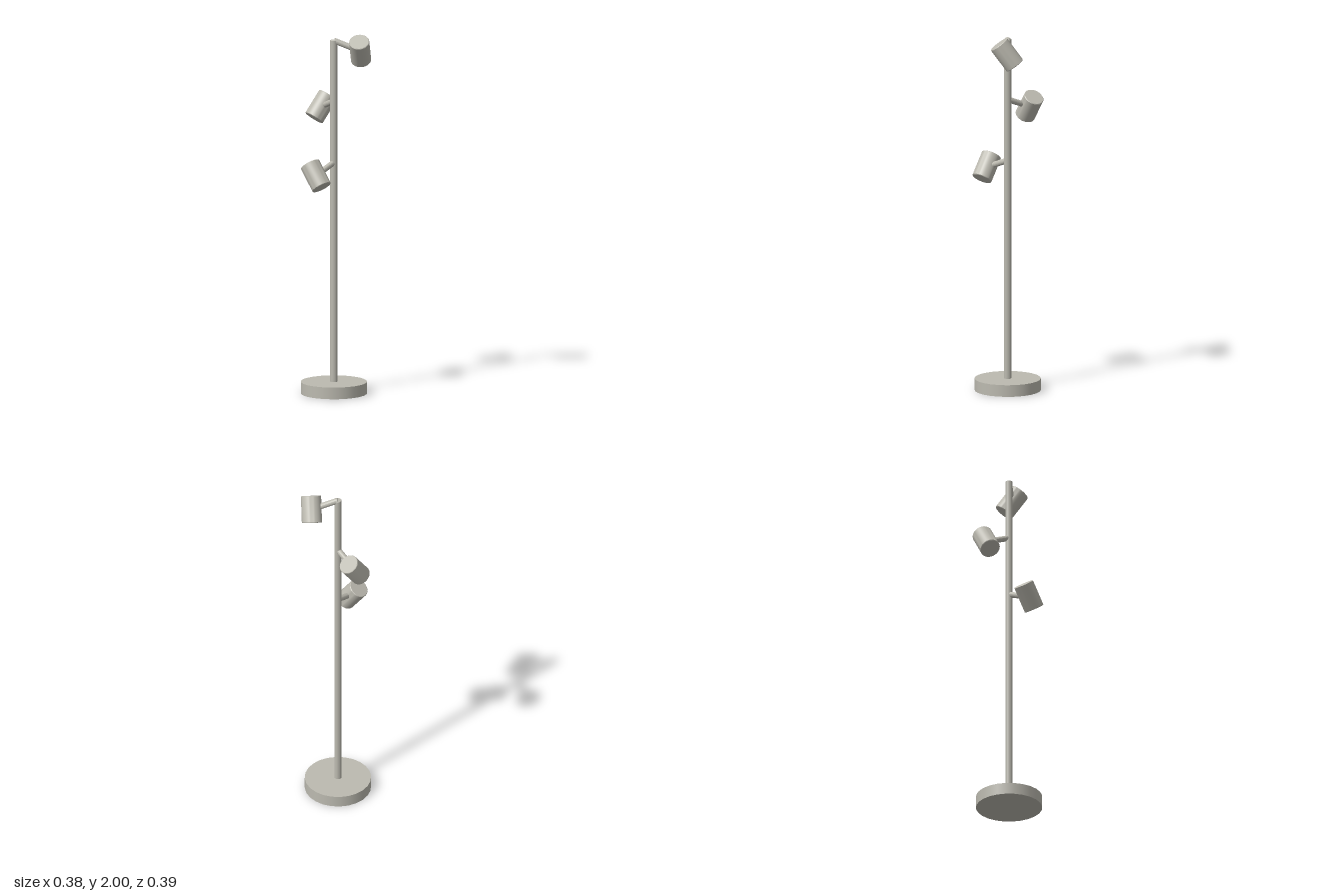
import * as THREE from 'three';
import { toCreasedNormals } from 'three/addons/utils/BufferGeometryUtils.js';

// Solid cylinder centred on its axis, with a small chamfer on both rims
function chamferedCylinder(radius, length, chamfer, sides) {
  const h = length / 2;
  const profile = [
    [0, -h], [radius - chamfer, -h], [radius, -h + chamfer],
    [radius, h - chamfer], [radius - chamfer, h], [0, h],
  ].map(([x, y]) => new THREE.Vector2(x, y));
  return toCreasedNormals(new THREE.LatheGeometry(profile, sides), 0.5);
}

export function createModel() {
  const metal = new THREE.MeshStandardMaterial({ color: 0xbcbab0 });
  metal.name = 'warm grey metal';

  const lamp = new THREE.Group();
  lamp.name = 'floorLamp';
  lamp.position.x = -0.01; // the pole stands slightly off the overall centre

  const add = (parent, name, geometry) => {
    const mesh = new THREE.Mesh(geometry, metal);
    mesh.name = name;
    parent.add(mesh);
    return mesh;
  };

  // Round foot
  add(lamp, 'base', new THREE.CylinderGeometry(0.182, 0.182, 0.065, 24)).position.y = 0.0325;

  // Upright
  const poleBottom = 0.06, poleTop = 1.968;
  add(lamp, 'pole', chamferedCylinder(0.02, poleTop - poleBottom, 0.002, 24))
    .position.y = (poleBottom + poleTop) / 2;

  // Three spotlights, each turned about the pole and stepped down
  const reach = 0.145, drop = 0.055, tilt = 0.637;
  const armLength = Math.hypot(reach, drop);
  const armGeometry = chamferedCylinder(0.016, armLength, 0.002, 20);
  const shadeGeometry = chamferedCylinder(0.0555, 0.148, 0.003, 40);
  const turn = THREE.MathUtils.degToRad(126);

  [['top', 1.965, 0], ['middle', 1.628, turn], ['lower', 1.286, -turn]].forEach(([name, y, angle]) => {
    const spot = new THREE.Group();
    spot.name = name + 'Spotlight';
    spot.position.y = y;
    spot.rotation.y = angle;

    const arm = add(spot, name + 'Arm', armGeometry);
    arm.position.set(reach / 2, -drop / 2, 0);
    arm.rotation.z = -Math.PI / 2 - Math.atan2(drop, reach);

    const shade = add(spot, name + 'Shade', shadeGeometry);
    shade.position.set(reach, -drop, 0);
    shade.rotation.x = tilt;

    lamp.add(spot);
  });

  const model = new THREE.Group();
  model.add(lamp);
  return model;
}
